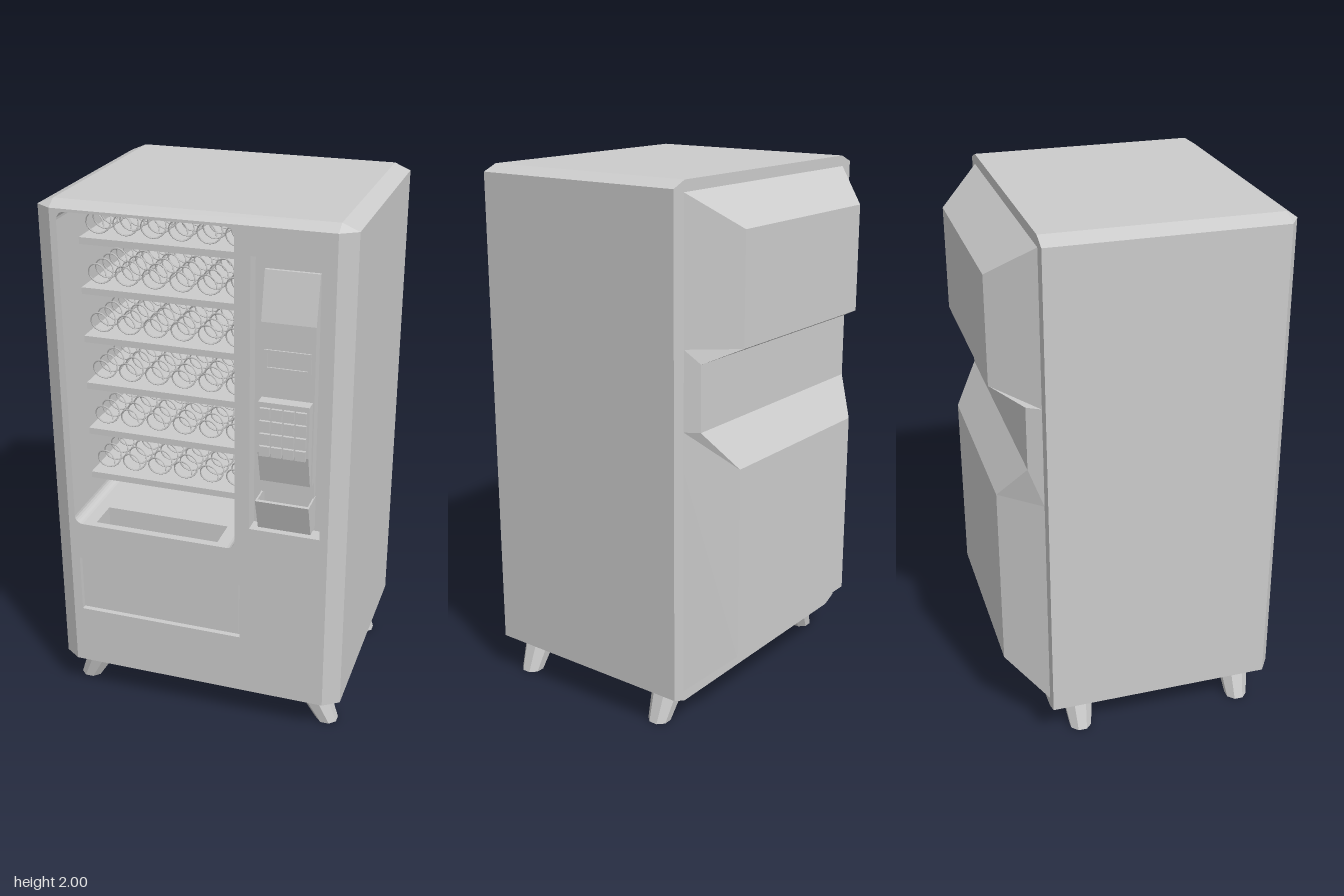
import * as THREE from 'three';

const grey = new THREE.MeshStandardMaterial({ color: 0xcccccc });
const V = (x, y, z) => new THREE.Vector3(x, y, z);

function add(parent, geometry, name, x = 0, y = 0, z = 0) {
  const mesh = new THREE.Mesh(geometry, grey);
  mesh.name = name;
  mesh.position.set(x, y, z);
  parent.add(mesh);
  return mesh;
}

// Flat-shaded skin between successive cross-section loops
function loft(loops, closed, skip = () => false) {
  const pos = [];
  const n = loops[0].length;
  const tri = (...p) => {
    const area = p[1].clone().sub(p[0]).cross(p[2].clone().sub(p[0])).length();
    if (area > 1e-9) p.forEach(q => pos.push(q.x, q.y, q.z));
  };
  for (let k = 0; k < loops.length - 1; k++) {
    for (let j = 0; j < (closed ? n : n - 1); j++) {
      const m = (j + 1) % n;
      const [a, b, c, d] = [loops[k][j], loops[k][m], loops[k + 1][m], loops[k + 1][j]];
      if (skip(a, b)) continue;
      tri(a, b, c);
      tri(a, c, d);
    }
  }
  const g = new THREE.BufferGeometry();
  g.setAttribute('position', new THREE.Float32BufferAttribute(pos, 3));
  g.computeVertexNormals();
  return g;
}

// Counter-clockwise outline of a rectangle, with rounded corners if r > 0
function rect(x0, x1, y0, y1, r = 0) {
  const corners = [[x1 - r, y0 + r], [x1 - r, y1 - r], [x0 + r, y1 - r], [x0 + r, y0 + r]];
  const steps = r ? 5 : 0;
  const pts = [];
  corners.forEach(([x, y], i) => {
    for (let s = 0; s <= steps; s++) {
      const a = (i - 1 + (steps ? s / steps : 0)) * Math.PI / 2;
      pts.push(new THREE.Vector2(x + r * Math.cos(a), y + r * Math.sin(a)));
    }
  });
  return pts;
}

function plate(outline, holes = []) {
  const shape = new THREE.Shape(outline);
  shape.holes = holes.map(h => new THREE.Path(h));
  return new THREE.ShapeGeometry(shape);
}

// Recess with inward-facing walls and a back
function pocket(parent, outline, z, depth, name, skip) {
  const ring = w => outline.map(p => V(p.x, p.y, w));
  add(parent, loft([ring(z), ring(z - depth)], true, skip), name + 'Walls');
  add(parent, plate(outline), name + 'Back', 0, 0, z - depth);
}

// Side profile given as [z, y], extruded across x0..x1
function extrudeAcross(profile, x0, x1) {
  const shape = new THREE.Shape(profile.map(p => new THREE.Vector2(...p)));
  const g = new THREE.ExtrudeGeometry(shape, { depth: x1 - x0, bevelEnabled: false });
  return g.rotateY(-Math.PI / 2).translate(x1, 0, 0);
}

function buildCabinet(group) {
  // Chamfered shell
  const outline = [[0.5, 0.12], [0.56, 0.145], [0.56, 1.975], [0.5, 2],
    [-0.5, 2], [-0.56, 1.975], [-0.56, 0.145], [-0.5, 0.12]];
  const ring = z => outline.map(([x, y]) => V(x, y, z));
  const front = outline.map(([x, y]) => V(Math.sign(x) * 0.5, y > 1 ? 1.975 : 0.145, 0.5));
  add(group, loft([ring(-0.39), ring(0.46), front], true), 'cabinetShell');
  const back = plate(outline.map(p => new THREE.Vector2(...p))).rotateY(Math.PI);
  add(group, back, 'cabinetBack', 0, 0, -0.39);

  // Front face with its openings
  const window = rect(-0.475, 0.155, 0.765, 1.965, 0.03);
  const consoleHole = rect(0.21, 0.47, 0.86, 1.875);
  const flapHole = rect(-0.465, 0.175, 0.385, 0.615);
  add(group, plate(rect(-0.5, 0.5, 0.145, 1.975), [window, consoleHole, flapHole]),
    'frontFace', 0, 0, 0.5);
  const isFloor = (a, b) => Math.abs(a.y - 0.765) < 1e-6 && Math.abs(b.y - 0.765) < 1e-6;
  pocket(group, window, 0.5, 0.7, 'displayCase', isFloor);
  pocket(group, consoleHole, 0.5, 0.06, 'consoleRecess');
  pocket(group, flapHole, 0.5, 0.02, 'deliveryRecess');
  add(group, new THREE.BoxGeometry(0.625, 0.215, 0.01), 'deliveryFlap', -0.145, 0.5, 0.483);

  // Display floor with the drop chute
  const floor = new THREE.Group();
  floor.name = 'displayFloor';
  floor.rotation.x = -Math.PI / 2;
  floor.position.y = 0.765;
  const chute = rect(-0.4, 0.08, -0.47, -0.35);
  add(floor, plate(rect(-0.445, 0.125, -0.5, 0.2), [chute]), 'floorPlate');
  pocket(floor, chute, 0, 0.12, 'chute');
  group.add(floor);

  // Stepped rear housing, listed upward as [y, z, half width]
  const rear = [[0.16, -0.39, 0.505], [0.29, -0.535, 0.375], [1.01, -0.535, 0.375],
    [1.15, -0.44, 0.475], [1.39, -0.44, 0.475], [1.44, -0.545, 0.375],
    [1.84, -0.545, 0.375], [1.96, -0.39, 0.505]];
  const base = s => rear.map(([y]) => V(s * 0.505, y, -0.39));
  const edge = s => rear.map(([y, z, w]) => V(s * w, y, z));
  add(group, loft([base(-1), edge(-1), edge(1), base(1)], false), 'rearHousing');
}

function buildShelves(group) {
  // Spiral dispenser wire
  const turns = 7, length = 0.45, r = 0.041;
  const pts = [];
  for (let i = 0; i <= turns * 12; i++) {
    const a = i / 12 * Math.PI * 2;
    pts.push(V(r * Math.cos(a), r * Math.sin(a), -length * i / (turns * 12)));
  }
  const coil = new THREE.TubeGeometry(new THREE.CatmullRomCurve3(pts), turns * 16, 0.003, 4);
  const shelf = new THREE.BoxGeometry(0.63, 0.025, 0.53);
  for (let row = 0; row < 6; row++) {
    const y = 1.873 - row * 0.1855;
    add(group, shelf, 'shelf', -0.16, y - 0.058, 0.065);
    for (let col = 0; col < 6; col++) {
      add(group, coil, 'dispenserCoil', -0.42 + col * 0.1038, y, 0.325);
    }
  }
}

function buildConsole(group) {
  const panel = new THREE.Group();
  panel.name = 'controlConsole';
  group.add(panel);
  // Sloped screen, keypad block and coin tray
  add(panel, extrudeAcross([[0.44, 1.0], [0.46, 1.0], [0.46, 1.065], [0.49, 1.065],
    [0.49, 1.65], [0.452, 1.82], [0.44, 1.82]], 0.245, 0.435), 'consoleBody');
  add(panel, extrudeAcross([[0.48, 1.065], [0.5, 1.065], [0.534, 1.19], [0.534, 1.38],
    [0.48, 1.38]], 0.25, 0.43), 'keypadBlock');
  add(panel, extrudeAcross([[0.44, 0.875], [0.5, 0.875], [0.54, 1.0], [0.525, 1.0],
    [0.49, 0.89], [0.44, 0.89]], 0.243, 0.437), 'coinTray');
  for (const x of [0.246, 0.434]) {
    add(panel, extrudeAcross([[0.44, 0.89], [0.49, 0.89], [0.525, 1.0], [0.44, 1.0]],
      x - 0.003, x + 0.003), 'coinTraySide');
  }
  // Note slot surround
  const slot = new THREE.Shape(rect(-0.082, 0.082, -0.037, 0.037));
  slot.holes.push(new THREE.Path(rect(-0.07, 0.07, -0.026, 0.026)));
  add(panel, new THREE.ExtrudeGeometry(slot, { depth: 0.008, bevelEnabled: false }),
    'noteSlotFrame', 0.339, 1.518, 0.488);
  // Keys
  const key = new THREE.BoxGeometry(0.037, 0.037, 0.02);
  for (let i = 0; i < 16; i++) {
    add(panel, key, 'key', 0.276 + (i % 4) * 0.0425, 1.343 - Math.floor(i / 4) * 0.0475, 0.535);
  }
}

function buildLegs(group) {
  // Splayed tapering feet
  for (const sx of [-1, 1]) {
    for (const z of [0.378, -0.27]) {
      const leg = new THREE.CylinderGeometry(0.063, 0.043, 0.125, 8).toNonIndexed();
      leg.rotateY(Math.PI / 8);
      const p = leg.attributes.position;
      for (let i = 0; i < p.count; i++) {
        p.setX(i, p.getX(i) + sx * (p.getY(i) > 0 ? 0.435 : 0.495));
      }
      leg.computeVertexNormals();
      add(group, leg, 'leg', 0, 0.0625, z);
    }
  }
}

export function createModel() {
  const group = new THREE.Group();
  group.name = 'vendingMachine';
  buildCabinet(group);
  buildShelves(group);
  buildConsole(group);
  buildLegs(group);
  return group;
}
